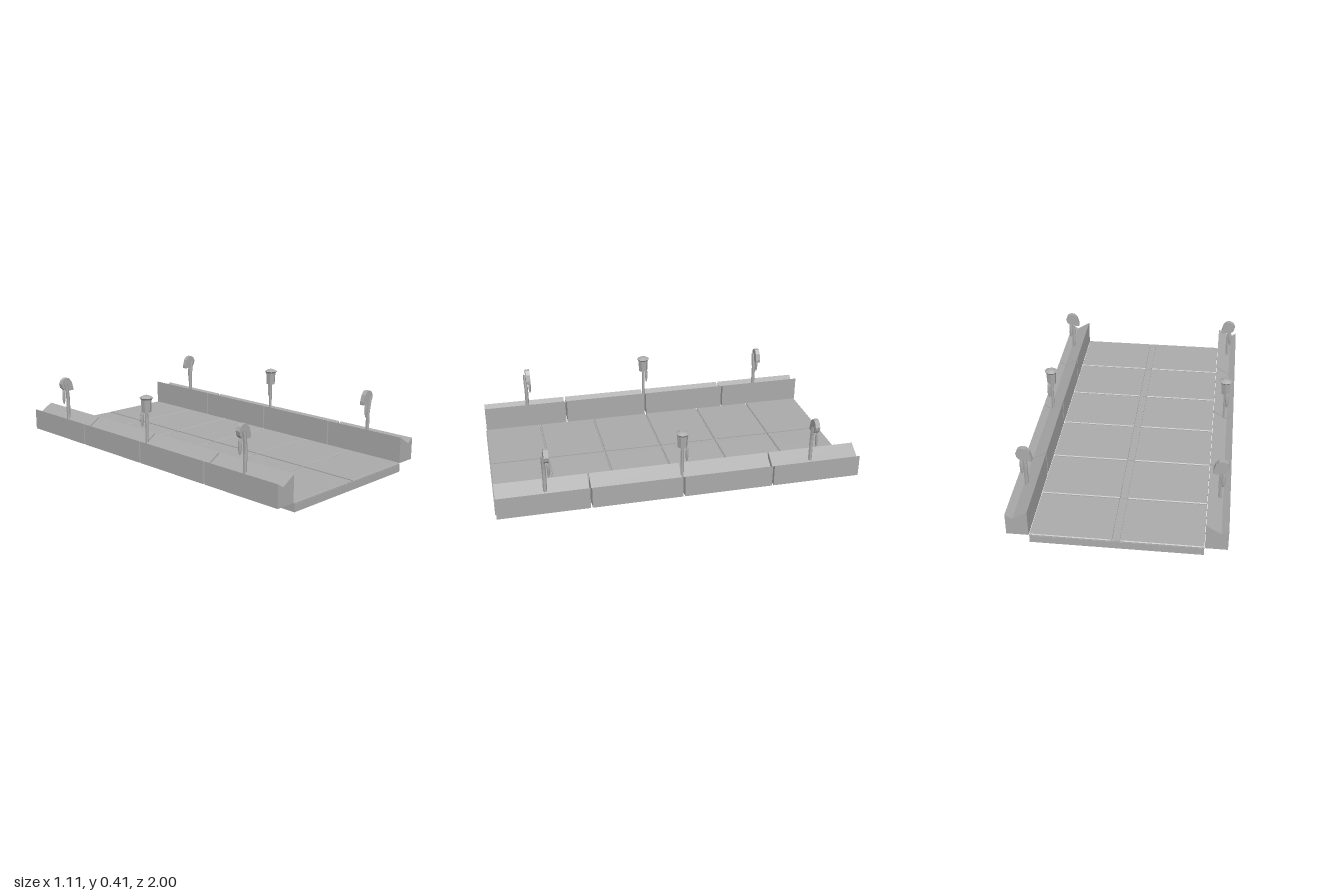
import * as THREE from 'three';

const stone = new THREE.MeshStandardMaterial({ color: 0xaaaaaa, flatShading: true });
stone.name = 'stoneGrey';

function add(parent, name, geometry, x = 0, y = 0, z = 0) {
  const mesh = new THREE.Mesh(geometry, stone);
  mesh.name = name;
  mesh.position.set(x, y, z);
  parent.add(mesh);
  return mesh;
}

// Extrudes an outline of [x, y] points along z, centred on z = 0
function prism(points, depth) {
  const shape = new THREE.Shape(points.map(([x, y]) => new THREE.Vector2(x, y)));
  return new THREE.ExtrudeGeometry(shape, { depth, bevelEnabled: false }).translate(0, 0, -depth / 2);
}

// Paving slab with chamfered front and back edges
function pavingSlab(width, length) {
  const h = length / 2, c = 0.004;
  const outline = [[-h, 0], [h, 0], [h, 0.004], [h - c, 0.008], [-h + c, 0.008], [-h, 0.004]];
  return prism(outline, width).rotateY(Math.PI / 2);
}

function bentPole(points) {
  const curve = new THREE.CatmullRomCurve3(points.map(p => new THREE.Vector3(...p)));
  return new THREE.TubeGeometry(curve, 8, 0.011, 6, false);
}

// Hanging leaf-shaped tag beside each pole
function addTag(lamp, s, z) {
  const tag = add(lamp, 'hangingTag', new THREE.SphereGeometry(1, 8, 6), s * 0.013, 0.285, z);
  tag.scale.set(0.011, 0.048, 0.008);
}

// Lamp with a rounded flat hood on a bent pole
function hoodLamp(s) {
  const lamp = new THREE.Group();
  lamp.name = 'hoodLamp';
  const hood = [[-0.042, 0.32], [-0.042, 0.338], [-0.031, 0.375], [-0.013, 0.396], [0.01, 0.398],
    [0.03, 0.387], [0.04, 0.365], [0.035, 0.342], [0.02, 0.327], [-0.018, 0.32]];
  add(lamp, 'hood', prism(hood.map(([x, y]) => [s * x, y]), 0.026), 0, 0, -0.004);
  add(lamp, 'pole', bentPole([[0, 0.13, 0.01], [0, 0.2, 0.01], [-s * 0.001, 0.27, 0.01],
    [s * 0.005, 0.32, 0.012], [s * 0.012, 0.365, 0.012]]));
  addTag(lamp, s, -0.013);
  return lamp;
}

// Lantern with an eight-sided cap
function lantern(s) {
  const lamp = new THREE.Group();
  lamp.name = 'lantern';
  add(lamp, 'pole', new THREE.CylinderGeometry(0.009, 0.009, 0.29, 6), 0, 0.19, 0);
  add(lamp, 'lanternBody', new THREE.CylinderGeometry(0.03, 0.026, 0.07, 6), 0, 0.358, 0);
  add(lamp, 'capBrim', new THREE.CylinderGeometry(0.038, 0.03, 0.01, 8), 0, 0.398, 0);
  add(lamp, 'capTop', new THREE.CylinderGeometry(0.015, 0.038, 0.012, 8), 0, 0.409, 0);
  addTag(lamp, s, -0.022);
  return lamp;
}

export function createModel() {
  const bridge = new THREE.Group();
  bridge.name = 'bridge';

  // Deck with two rows of slabs and a centre strip
  add(bridge, 'deck', new THREE.BoxGeometry(0.88, 0.042, 2), 0, 0.021, 0);
  const pitch = 1 / 3;
  for (let i = 0; i < 6; i++) {
    const z = -1 + pitch * (i + 0.5);
    for (const s of [-1, 1]) {
      add(bridge, 'pavingSlab', pavingSlab(0.418, pitch - 0.006), s * 0.231, 0.042, z);
    }
    add(bridge, 'centreStrip', new THREE.BoxGeometry(0.036, 0.005, pitch - 0.004), 0, 0.0445, z);
  }

  // Parapets with a sloping channel along the top, in four lengths per side
  const profile = [[0.443, 0.046], [0.557, 0.046], [0.557, 0.168], [0.52, 0.144], [0.443, 0.191]];
  const spans = [[-1, -0.505], [-0.495, -0.005], [0.005, 0.495], [0.505, 0.995]];
  for (const s of [-1, 1]) {
    for (const [z0, z1] of spans) {
      const block = prism(profile.map(([x, y]) => [s * x, y]), z1 - z0);
      add(bridge, 'parapet', block, 0, 0, (z0 + z1) / 2);
    }
    for (const z of [-0.738, 0.724]) {
      const lamp = hoodLamp(s);
      lamp.position.set(s * 0.503, 0, z);
      bridge.add(lamp);
    }
    const middle = lantern(s);
    middle.position.set(s * 0.503, 0, 0);
    bridge.add(middle);
  }
  return bridge;
}
